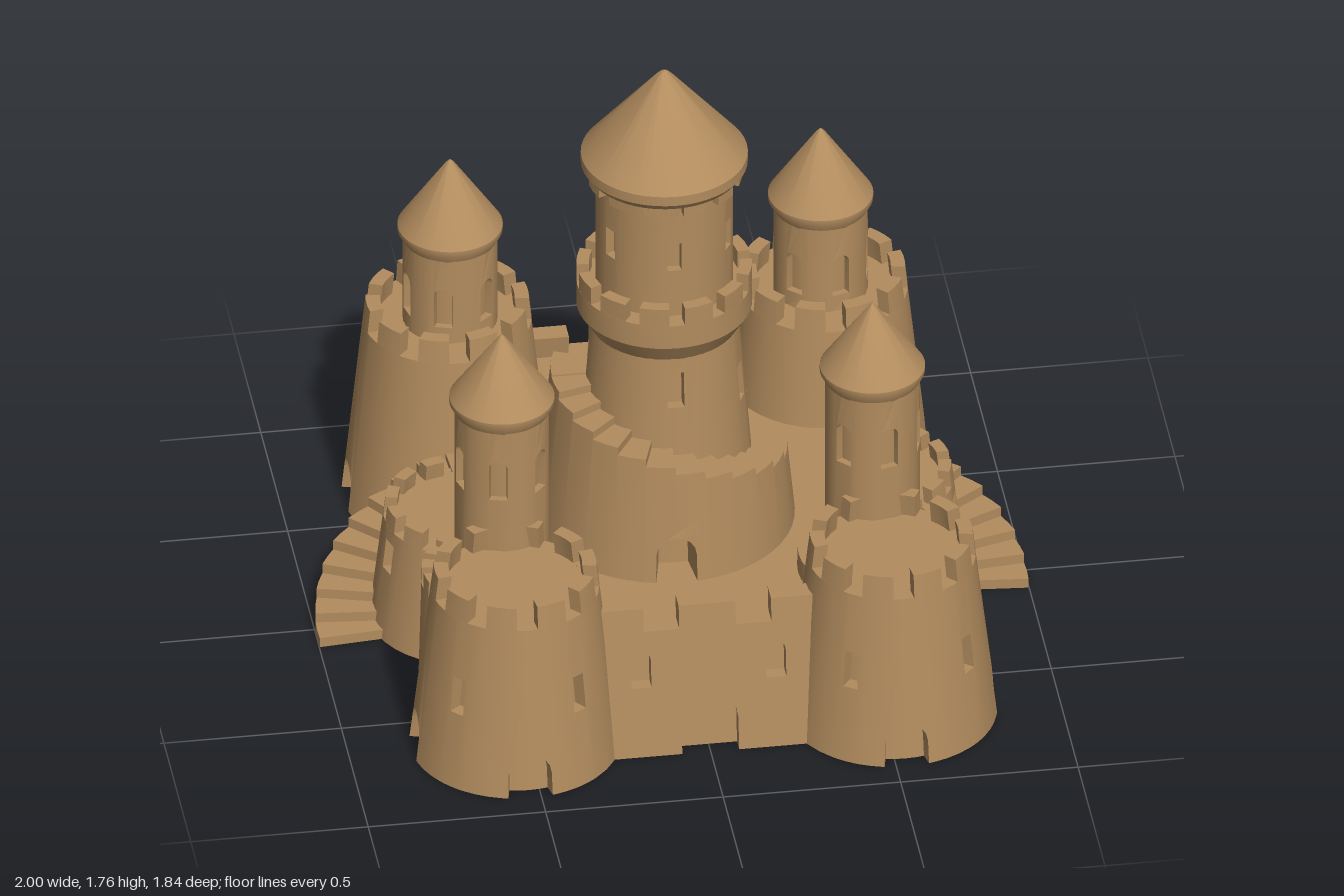
import * as THREE from 'three';
import { mergeGeometries, toCreasedNormals } from 'three/addons/utils/BufferGeometryUtils.js';

const sand = new THREE.MeshStandardMaterial({ color: 0xb28c5e });
sand.name = 'sand';
const RAD = Math.PI / 180;
const FLOOR = 0.28;

// straight slope from r0 at y0 to r1 at y1
const taper = (r0, y0, r1, y1) => y => r0 + (r1 - r0) * (y - y0) / (y1 - y0);

function clean(g) {
  const n = g.index ? g.toNonIndexed() : g;
  n.deleteAttribute('uv');
  return n;
}

function add(parent, name, geos, x = 0, z = 0) {
  const g = toCreasedNormals(mergeGeometries([geos].flat().map(clean)), 0.55);
  const m = new THREE.Mesh(g, sand);
  m.name = name;
  m.position.set(x, 0, z);
  parent.add(m);
  return m;
}

// Outline of a door or window, from lower left over the top to lower right
function openingPoints(o, rise) {
  const pts = [[-o.hw, o.y0]];
  if (o.arch) {
    for (let i = 0; i <= 8; i++) {
      const a = Math.PI * (1 - i / 8);
      pts.push([o.hw * Math.cos(a), o.y1 - rise + rise * Math.sin(a)]);
    }
  } else pts.push([-o.hw, o.y1], [o.hw, o.y1]);
  pts.push([o.hw, o.y0]);
  return pts.map(p => new THREE.Vector2(p[0] + o.u, p[1]));
}

// Wall piece u0..u1 by y0..y1; u is an angle when round, otherwise a width
function panel(R, th, u0, u1, y0, y1, o, round = true) {
  const v = (x, y) => new THREE.Vector2(x, y);
  const hole = o ? openingPoints(o, round ? o.hw * R(o.y1) : o.hw) : [];
  const isDoor = o && o.y0 <= y0 + 1e-6;
  const top = o ? [v(o.u + o.hw, y1), v(o.u, y1), v(o.u - o.hw, y1)] : [];
  const bottom = !o ? [] : isDoor ? hole : [v(o.u - o.hw, y0), v(o.u, y0), v(o.u + o.hw, y0)];
  const shape = new THREE.Shape([v(u0, y0), ...bottom, v(u1, y0), v(u1, y1), ...top, v(u0, y1)]);
  if (o && !isDoor) shape.holes.push(new THREE.Path(hole));
  const g = new THREE.ExtrudeGeometry(shape, { depth: th, bevelEnabled: false });
  const p = g.attributes.position;
  for (let i = 0; i < p.count; i++) {
    const u = p.getX(i), y = p.getY(i), r = R(y) - th + p.getZ(i);
    if (round) p.setXYZ(i, r * Math.sin(u), y, r * Math.cos(u));
    else p.setZ(i, r);
  }
  return g;
}

// Curved run of panels between two angles, in pieces of at most 10 degrees
function arc(R, th, a0, a1, y0, y1) {
  const n = Math.max(1, Math.ceil((a1 - a0) / 10 - 1e-6)), s = (a1 - a0) / n;
  return Array.from({ length: n }, (_, i) =>
    panel(R, th, (a0 + i * s) * RAD, (a0 + (i + 1) * s) * RAD, y0, y1));
}

// Round wall with recessed openings [degrees, half width, y0, y1, arched] over a core
function roundWall(R, th, y0, y1, openings, a0 = 0, a1 = 360) {
  const geos = [new THREE.CylinderGeometry(R(y1) - th, R(y0) - th, y1 - y0, 48, 1, false, a0 * RAD, (a1 - a0) * RAD)
    .translate(0, (y0 + y1) / 2, 0)];
  const list = openings.map(([t, w, b, h, arch]) => ({ t: a0 + (((t - a0) % 360) + 360) % 360, hw: w / R(b), y0: b, y1: h, arch }))
    .sort((a, b) => a.t - b.t);
  const full = a1 - a0 === 360;
  const margin = o => o.hw / RAD + 3;
  let at = full && list.length ? list[0].t - margin(list[0]) : a0;
  const end = full ? at + 360 : a1;
  for (const o of list) {
    const m = margin(o);
    if (o.t - m - at > 0.01) geos.push(...arc(R, th, at, o.t - m, y0, y1));
    o.u = o.t * RAD;
    geos.push(panel(R, th, (o.t - m) * RAD, (o.t + m) * RAD, y0, y1, o));
    at = o.t + m;
  }
  if (end - at > 0.01) geos.push(...arc(R, th, at, end, y0, y1));
  return geos;
}

// Ring of battlements
function merlons(R, th, y0, y1, n, a0 = 0, a1 = 360, duty = 0.6) {
  const s = (a1 - a0) / n, geos = [];
  for (let i = 0; i < n; i++) {
    const c = a0 + (i + 0.5) * s;
    geos.push(...arc(R, th, c - s * duty / 2, c + s * duty / 2, y0, y1));
  }
  return geos;
}

const lathe = pts => new THREE.LatheGeometry(pts.map(p => new THREE.Vector2(...p)), 48);

// Slender turret with six arched windows and a cone roof
function turret(parent, name, x, z, y0, top, apex, w0, w1, first) {
  const R = () => 0.132;
  const wins = Array.from({ length: 6 }, (_, i) => [first + 60 * i, 0.026, w0, w1, true]);
  add(parent, name, roundWall(R, 0.022, y0, top, wins), x, z);
  add(parent, name + 'Roof', lathe([[0.125, top - 0.05], [0.147, top - 0.01], [0.147, top + 0.005],
    [0.012, apex - 0.012], [0, apex]]), x, z);
}

// Wall between two towers, with gate, windows and battlements
function curtainWall(parent, name, baseZ, back) {
  const R = taper(baseZ, 0, baseZ - 0.07, 0.45), inner = y => R(y) - 0.04;
  const win = u => ({ u, hw: 0.028, y0: 0.21, y1: 0.32, arch: true });
  const geos = [
    panel(R, 0.04, -0.12, 0.12, 0, 0.38, { u: 0, hw: 0.08, y0: 0, y1: 0.18, arch: true }, false),
    panel(R, 0.04, -0.4, -0.12, 0, 0.38, win(-0.19), false),
    panel(R, 0.04, 0.12, 0.4, 0, 0.38, win(0.19), false),
    panel(inner, 0.12, -0.4, 0.4, 0, 0.38, null, false),
    new THREE.BoxGeometry(0.8, 0.38, 0.12).translate(0, 0.19, 0.60)];
  for (const [a, b] of [[-0.34, -0.18], [-0.08, 0.08], [0.18, 0.34]])
    geos.push(panel(R, 0.06, a, b, 0.38, 0.45, null, false));
  if (back) geos.push(new THREE.BoxGeometry(0.8, 0.33, 0.2).translate(0, 0.165, 0.62));
  const m = add(parent, name, geos);
  if (back) m.rotation.y = Math.PI;
}

function cornerTower(parent, s, z, crenel, name) {
  const f = Math.sign(z), x = 0.53 * s;
  // angles given for the front left tower, mirrored to the others
  const dir = t => Math.atan2(Math.sin(t * RAD) * s, Math.cos(t * RAD) * f) / RAD;
  const R = taper(0.295, 0, 0.235, crenel);
  add(parent, name, [
    ...roundWall(R, 0.04, 0, crenel, [
      [dir(0), 0.063, 0, 0.13, true], [dir(90), 0.063, 0, 0.13, true],
      [dir(46), 0.022, 0.23, 0.34, false], [dir(-34), 0.022, 0.23, 0.34, false]]),
    ...merlons(R, 0.04, crenel, crenel + 0.07, 10)], x, z);
}

function sideBastion(parent, s) {
  const turn = (a, b) => s > 0 ? [a, b] : [-b, -a];
  // half-round bastion with battlements
  const R = taper(0.26, 0, 0.215, 0.39);
  add(parent, 'sideBastion', [
    ...roundWall(R, 0.04, 0, 0.34, [[73 * s, 0.025, 0.21, 0.3, false]], ...turn(0, 180)),
    ...merlons(R, 0.035, 0.34, 0.39, 6, ...turn(5, 178))], 0.58 * s, -0.02);
  // outer curved stair
  const steps = [];
  for (let i = 0; i < 10; i++)
    steps.push(...arc(() => 0.45, 0.28, ...turn(85 + i * 10.2, 85 + (i + 1) * 10.2), 0, 0.03 * (i + 1)));
  add(parent, 'outerStair', steps, 0.55 * s, 0.05);
  // low steps from the bastion down to the courtyard
  const tiers = [];
  for (let k = 0; k < 3; k++) {
    const o = 0.03 * k;
    const pts = [[0.575 - o, -0.22], [0.575 - o, 0.1 - o / 2], [0.43 - o, 0.17 - o / 2], [0.43 - o, 0.3], [0.66, 0.3], [0.66, -0.22]];
    const sh = new THREE.Shape(pts.map(([x, z]) => new THREE.Vector2(x * s, -z)));
    tiers.push(new THREE.ExtrudeGeometry(sh, { depth: 0.34 - 0.02 * k - 0.2, bevelEnabled: false })
      .rotateX(-Math.PI / 2).translate(0, 0.2, 0));
  }
  add(parent, 'courtyardSteps', tiers);
  // low drum carrying the tall turret
  const D = taper(0.225, 0, 0.215, 0.39);
  add(parent, 'turretDrum', [...roundWall(D, 0.035, 0, 0.34, []),
    ...merlons(D, 0.035, 0.34, 0.39, 6, ...turn(30, 150))], 0.53 * s, 0.33);
  turret(parent, 'tallTurret', 0.522 * s, 0.33, 0.33, 0.95, 1.16, 0.69, 0.82, 13 * s);
}

function keep(parent) {
  const x = -0.01, z = -0.03;
  const R = taper(0.26, FLOOR, 0.207, 0.94);
  add(parent, 'keepBody', roundWall(R, 0.03, FLOOR - 0.02, 0.94, [
    [0, 0.024, 0.77, 0.88, false], [66, 0.022, 0.7, 0.81, false], [115, 0.022, 0.65, 0.76, false],
    [-100, 0.04, 0.76, 0.89, true], [180, 0.022, 0.7, 0.81, false]]), x, z);
  // battlemented gallery
  add(parent, 'keepGallery', [lathe([[0.205, 0.92], [0.245, 0.985], [0.245, 1.06], [0, 1.06]]),
    ...merlons(() => 0.245, 0.035, 1.06, 1.115, 12, 0, 360, 0.66)], x, z);
  // upper tower and roof
  const wins = Array.from({ length: 6 }, (_, i) => [i * 60, 0.02, 1.21, 1.3, false]);
  add(parent, 'keepUpperTower', [...roundWall(() => 0.192, 0.025, 1.05, 1.44, wins),
    ...merlons(() => 0.216, 0.03, 1.405, 1.46, 12, 0, 360, 0.6)], x, z);
  add(parent, 'keepRoof', lathe([[0.15, 1.435], [0.218, 1.435], [0.233, 1.455], [0.233, 1.485],
    [0.025, 1.737], [0.012, 1.75], [0, 1.757]]), x, z);
  // spiral stair descending round the front and the left side to the back
  const S = taper(0.362, 0.3, 0.318, 0.76), sweep = 14.5, geos = [];
  for (let i = 0; i < 20; i++) {
    const overDoor = i === 5 || i === 6;
    geos.push(...arc(S, 0.14, -90 + i * sweep, -90 + (i + 1) * sweep, overDoor ? 0.47 : FLOOR - 0.01, 0.76 - 0.0235 * i));
  }
  geos.push(...arc(S, 0.14, -112, -90, FLOOR - 0.01, 0.765));
  // courtyard door below the stair
  geos.push(panel(S, 0.12, (-90 + 5 * sweep) * RAD, (-90 + 7 * sweep) * RAD, FLOOR, 0.47,
    { u: (-90 + 6 * sweep) * RAD, hw: 0.16, y0: FLOOR, y1: 0.42, arch: true }));
  add(parent, 'spiralStair', geos, x, z);
}

export function createModel() {
  const castle = new THREE.Group();
  castle.name = 'sandcastle';
  // raised courtyard
  add(castle, 'courtyard', new THREE.BoxGeometry(1.2, FLOOR, 1.16).translate(0, FLOOR / 2, 0));
  curtainWall(castle, 'frontWall', 0.77, false);
  curtainWall(castle, 'backWall', 0.81, true);
  for (const s of [1, -1]) {
    cornerTower(castle, s, 0.63, 0.52, 'frontTower');
    cornerTower(castle, s, -0.635, 0.58, 'backTower');
    turret(castle, 'backTurret', 0.522 * s, -0.635, 0.57, 0.89, 1.11, 0.63, 0.76, 17 * s);
    sideBastion(castle, s);
  }
  keep(castle);
  return castle;
}
